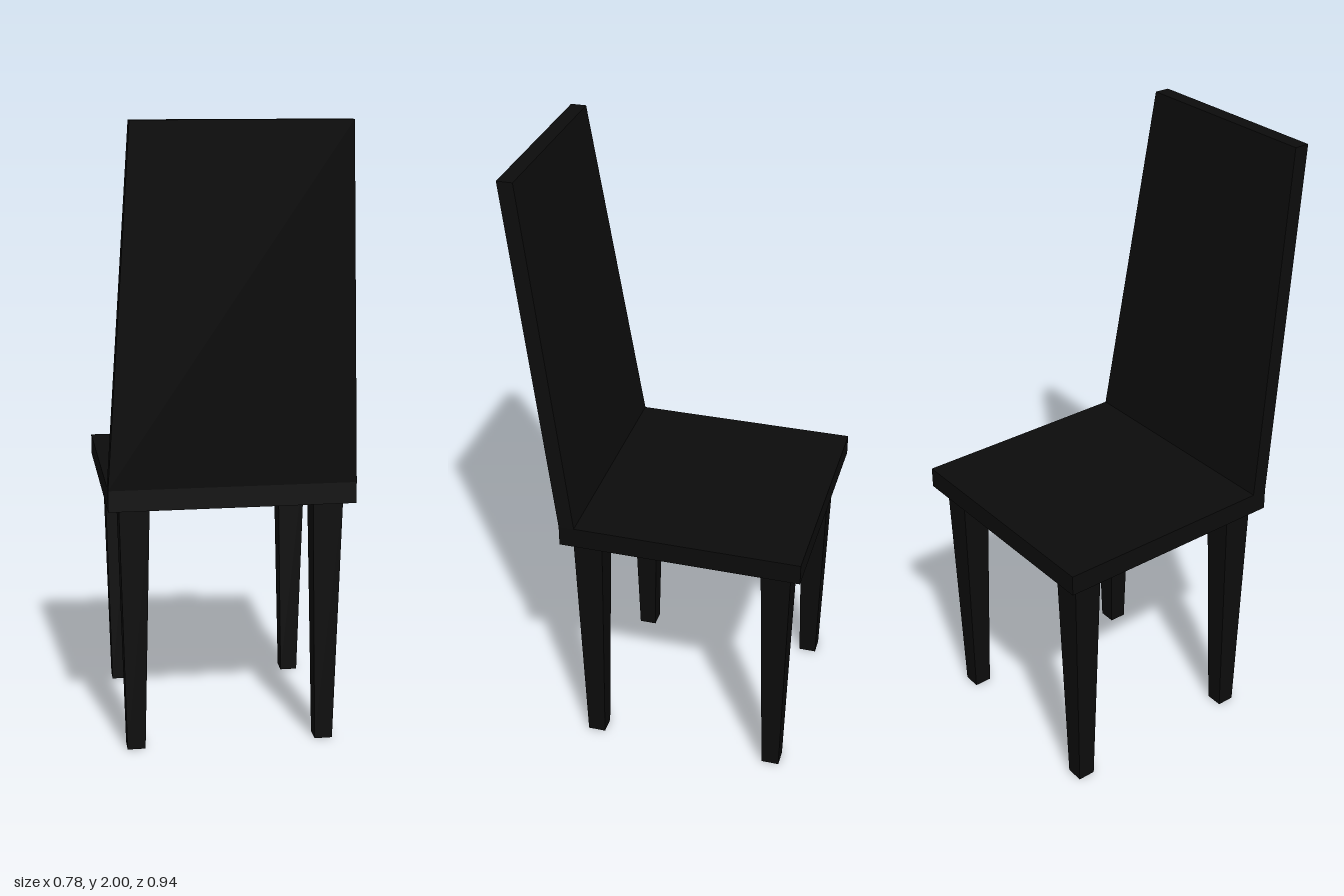
import * as THREE from 'three';

// Box whose top face may be narrower or wider and shifted in z
function taperedBlock(bottom, top, height, shiftZ = 0) {
  const geo = new THREE.BoxGeometry(1, height, 1).toNonIndexed();
  geo.translate(0, height / 2, 0);
  const p = geo.attributes.position;
  for (let i = 0; i < p.count; i++) {
    const upper = p.getY(i) > height / 2;
    const [w, d] = upper ? top : bottom;
    p.setX(i, p.getX(i) * w);
    p.setZ(i, p.getZ(i) * d + (upper ? shiftZ : 0));
  }
  geo.computeVertexNormals();
  return geo;
}

export function createModel() {
  const chair = new THREE.Group();
  chair.name = 'chair';
  const black = new THREE.MeshStandardMaterial({ color: 0x0c0c0c });
  black.name = 'black';

  const add = (name, geo, x, y, z) => {
    const mesh = new THREE.Mesh(geo, black);
    mesh.name = name;
    mesh.position.set(x, y, z);
    chair.add(mesh);
  };

  // Flat square seat
  add('seat', new THREE.BoxGeometry(0.78, 0.068, 0.78), 0, 0.844, -0.08);

  // Tapered backrest leaning outwards from the seat edge
  add('backrest', taperedBlock([0.78, 0.05], [0.65, 0.05], 1.122, 0.16), 0, 0.878, 0.285);

  // Four legs, narrower at the floor
  const leg = taperedBlock([0.058, 0.058], [0.096, 0.096], 0.81);
  for (const [side, x] of [['left', 0.307], ['right', -0.307]]) {
    add(side + 'LegUnderBackrest', leg, x, 0, 0.228);
    add(side + 'LegUnderSeatEdge', leg, x, 0, -0.386);
  }
  return chair;
}
